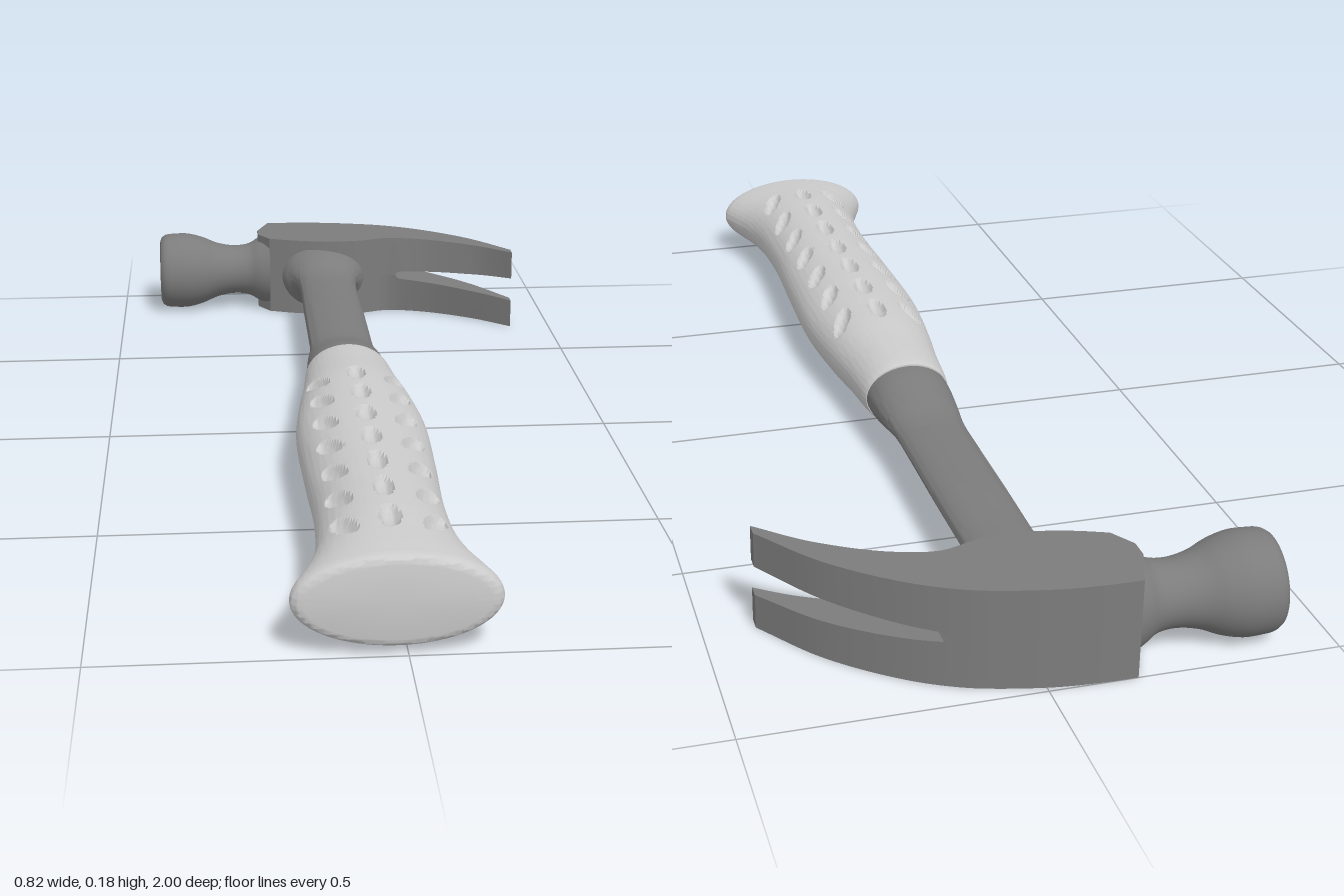
import * as THREE from 'three';
import { toCreasedNormals } from 'three/addons/utils/BufferGeometryUtils.js';

const V3 = (a) => new THREE.Vector3(...a);
const CX = -0.017, CY = 0.09;      // handle axis
const POLL_Z = -0.908;             // striking axis

// Closed solid through a list of equal-length rings of [x, y, z]; always faces outward.
function loft(rings, crease) {
  const n = rings[0].length, last = rings.length - 1;
  const pos = rings.flat(2), tris = [];
  for (let i = 0; i < last; i++) {
    for (let j = 0; j < n; j++) {
      const a = i * n + j, b = i * n + (j + 1) % n;
      tris.push([a, b, b + n], [a, b + n, a + n]);
    }
  }
  for (const end of [0, last]) {
    const centre = pos.length / 3;
    for (let k = 0; k < 3; k++) pos.push(rings[end].reduce((s, p) => s + p[k], 0) / n);
    for (let j = 0; j < n; j++) {
      const a = end * n + j, b = end * n + (j + 1) % n;
      tris.push(end ? [centre, a, b] : [centre, b, a]);
    }
  }
  // Signed volume tells whether the winding has to be reversed
  const at = (i) => V3(pos.slice(3 * i, 3 * i + 3));
  let volume = 0;
  for (const [a, b, c] of tris) volume += at(a).dot(at(b).cross(at(c)));
  if (volume < 0) tris.forEach((t) => t.reverse());
  const g = new THREE.BufferGeometry();
  g.setAttribute('position', new THREE.Float32BufferAttribute(pos, 3));
  g.setIndex(tris.flat());
  return toCreasedNormals(g, crease);
}

// Elliptical bar along z from a few stations [half width, half height, z].
function bar(stations, steps, sides, shape = (p) => p) {
  const curve = new THREE.CatmullRomCurve3(stations.map(V3), false, 'centripetal');
  const rings = curve.getSpacedPoints(steps).map((s) =>
    Array.from({ length: sides }, (_, j) => {
      const t = (j / sides) * Math.PI * 2;
      return shape([CX + s.x * Math.cos(t), CY + s.y * Math.sin(t), s.z]);
    }));
  return loft(rings, 0.7);
}

// Oval dents: seven rows of three on both broad sides, outer columns tilted.
function dent([x, y, z]) {
  for (let row = 0; row < 7; row++) {
    for (const side of [-1, 0, 1]) {
      const dx = x - CX - side * 0.073, dz = z - (0.152 + row * 0.1175);
      const tilt = side * 0.36, c = Math.cos(tilt), s = Math.sin(tilt);
      const u = (dx * c + dz * s) / 0.016, v = (dz * c - dx * s) / 0.041;
      const d = u * u + v * v;
      if (d < 1) y -= Math.sign(y - CY) * 0.016 * Math.sqrt(1 - d);
    }
  }
  return [x, y, z];
}

// One half of the claw block; sign +1 is the upper half, -1 the lower.
function clawHalf(sign) {
  const profile = [ // x, back edge z, front edge z
    [-0.15, -1, -0.847], [-0.09, -0.999, -0.825], [-0.02, -0.993, -0.81],
    [0.06, -0.977, -0.812], [0.13, -0.955, -0.832], [0.21, -0.912, -0.815],
    [0.32, -0.82, -0.755], [0.41, -0.702, -0.677],
  ];
  const curve = new THREE.CatmullRomCurve3(profile.map(V3), false, 'centripetal');
  const stations = [V3([-0.177, -0.925, -0.89]), ...curve.getSpacedPoints(90)];
  const rings = stations.map(({ x, y: back, z: front }) => {
    const d = Math.max(0, x - 0.15);
    const slot = Math.min(Math.sqrt(d * 0.01), 0.008 + d * 0.073);
    const dip = 0.01 * THREE.MathUtils.smoothstep(x, 0.1, 0.18) * (1 - THREE.MathUtils.smoothstep(x, 0.3, 0.41));
    const inner = CY + sign * slot, outer = CY + sign * 0.09;
    return [[x, inner, back], [x, outer, back], [x, outer, front], [x, inner, front + dip]];
  });
  return loft(rings, 0.5);
}

// Striking face, poll and waist, turned about the x axis.
function poll() {
  const waist = new THREE.SplineCurve([
    [0.088, -0.392], [0.089, -0.35], [0.08, -0.312], [0.065, -0.275],
    [0.058, -0.235], [0.062, -0.2], [0.076, -0.175], [0.089, -0.15],
  ].map((p) => new THREE.Vector2(...p))).getPoints(40);
  const face = [[0, -0.412], [0.072, -0.412], [0.081, -0.408], [0.086, -0.4]]
    .map((p) => new THREE.Vector2(...p));
  const g = new THREE.LatheGeometry([...face, ...waist], 64);
  g.rotateZ(-Math.PI / 2);
  g.translate(0, CY, POLL_Z);
  return g;
}

export function createModel() {
  const model = new THREE.Group();
  const rubber = new THREE.MeshStandardMaterial({ color: 0xcccccc });
  const steel = new THREE.MeshStandardMaterial({ color: 0x7c7c7c });
  const add = (name, geometry, material, parent = model) => {
    const mesh = new THREE.Mesh(geometry, material);
    mesh.name = name;
    parent.add(mesh);
  };

  // Head
  const head = new THREE.Group();
  head.name = 'head';
  model.add(head);
  add('upperClaw', clawHalf(1), steel, head);
  add('lowerClaw', clawHalf(-1), steel, head);
  add('poll', poll(), steel, head);

  // Shaft, flaring into the head
  add('shaft', bar([
    [0.115, 0.088, -0.86], [0.098, 0.084, -0.825], [0.083, 0.062, -0.805], [0.072, 0.042, -0.78],
    [0.067, 0.031, -0.74], [0.067, 0.029, -0.5], [0.067, 0.029, -0.22],
  ], 80, 48), steel);

  // Widening neck between shaft and grip
  add('neck', bar([
    [0.067, 0.029, -0.28], [0.069, 0.032, -0.24], [0.076, 0.045, -0.18],
    [0.081, 0.058, -0.12], [0.082, 0.062, -0.07],
  ], 30, 48), steel);

  // Dimpled grip with flared butt
  add('grip', bar([
    [0.083, 0.064, -0.088], [0.086, 0.068, -0.075], [0.096, 0.077, 0.03], [0.109, 0.085, 0.13],
    [0.122, 0.088, 0.28], [0.118, 0.088, 0.48], [0.111, 0.088, 0.68], [0.119, 0.087, 0.83],
    [0.136, 0.083, 0.9], [0.156, 0.08, 0.95], [0.165, 0.078, 0.975], [0.164, 0.077, 0.988],
    [0.157, 0.071, 0.997], [0.145, 0.062, 1],
  ], 230, 160, dent), rubber);

  return model;
}
